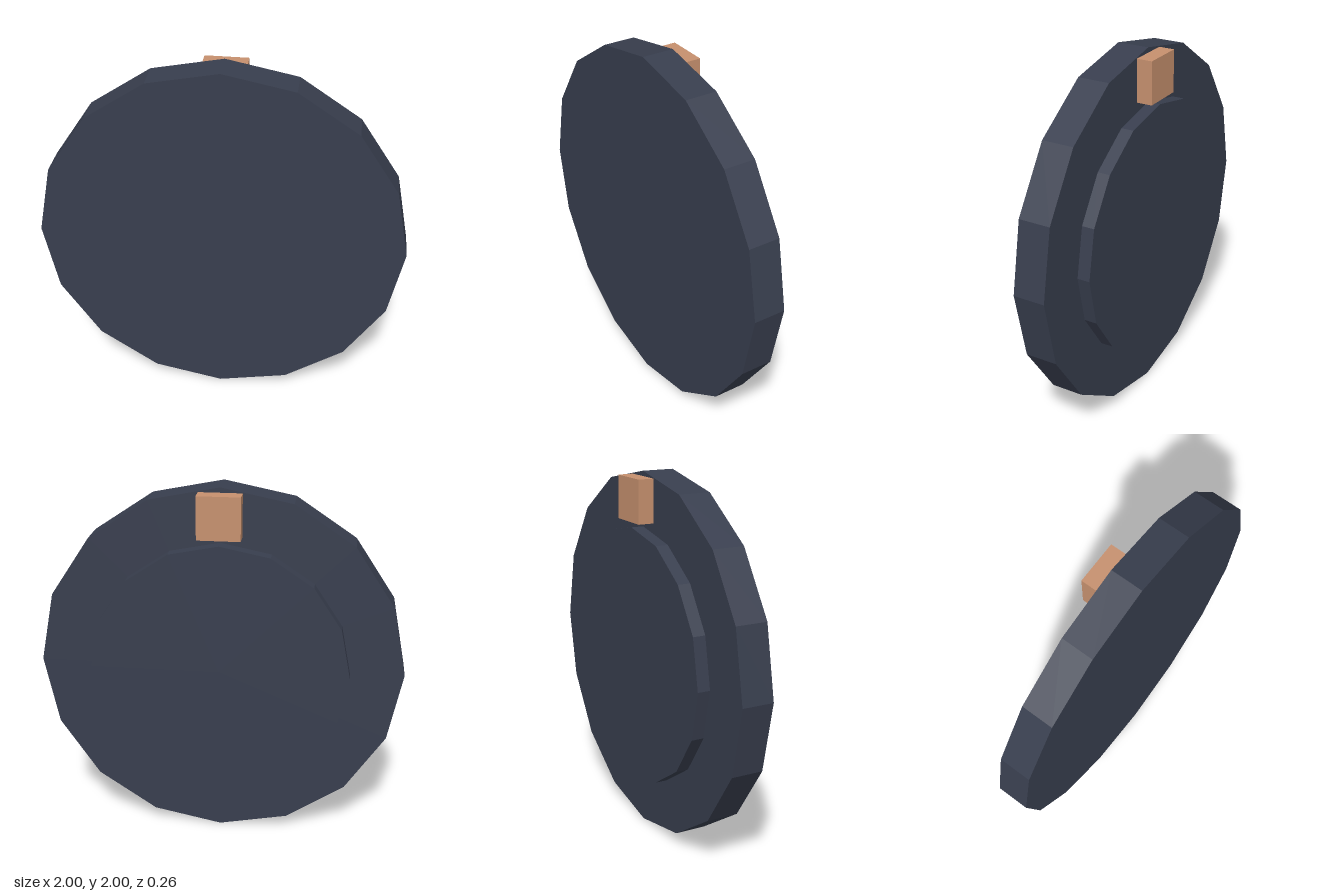
import * as THREE from 'three';

const SIDES = 16;

export function createModel() {
  const model = new THREE.Group();
  model.name = 'disc';

  const slate = new THREE.MeshStandardMaterial({ color: 0x383e4e });
  slate.name = 'dark slate';
  const tan = new THREE.MeshStandardMaterial({ color: 0xc6906e });
  tan.name = 'tan';

  // Faceted disc facing z, spanning zBack to zFront
  function addDisc(name, radius, zBack, zFront) {
    const geometry = new THREE.CylinderGeometry(radius, radius, zFront - zBack, SIDES)
      .rotateX(Math.PI / 2)
      .toNonIndexed();
    geometry.computeVertexNormals();
    const mesh = new THREE.Mesh(geometry, slate);
    mesh.name = name;
    mesh.position.set(0, 1, (zBack + zFront) / 2);
    model.add(mesh);
  }

  addDisc('mainDisc', 1, -0.045, 0.132);
  addDisc('backPlate', 0.707, -0.115, -0.045);

  // Small block at the top of the back
  const block = new THREE.Mesh(new THREE.BoxGeometry(0.232, 0.232, 0.087), tan);
  block.name = 'topBlock';
  block.position.set(0, 1.856, -0.0885);
  model.add(block);

  return model;
}
